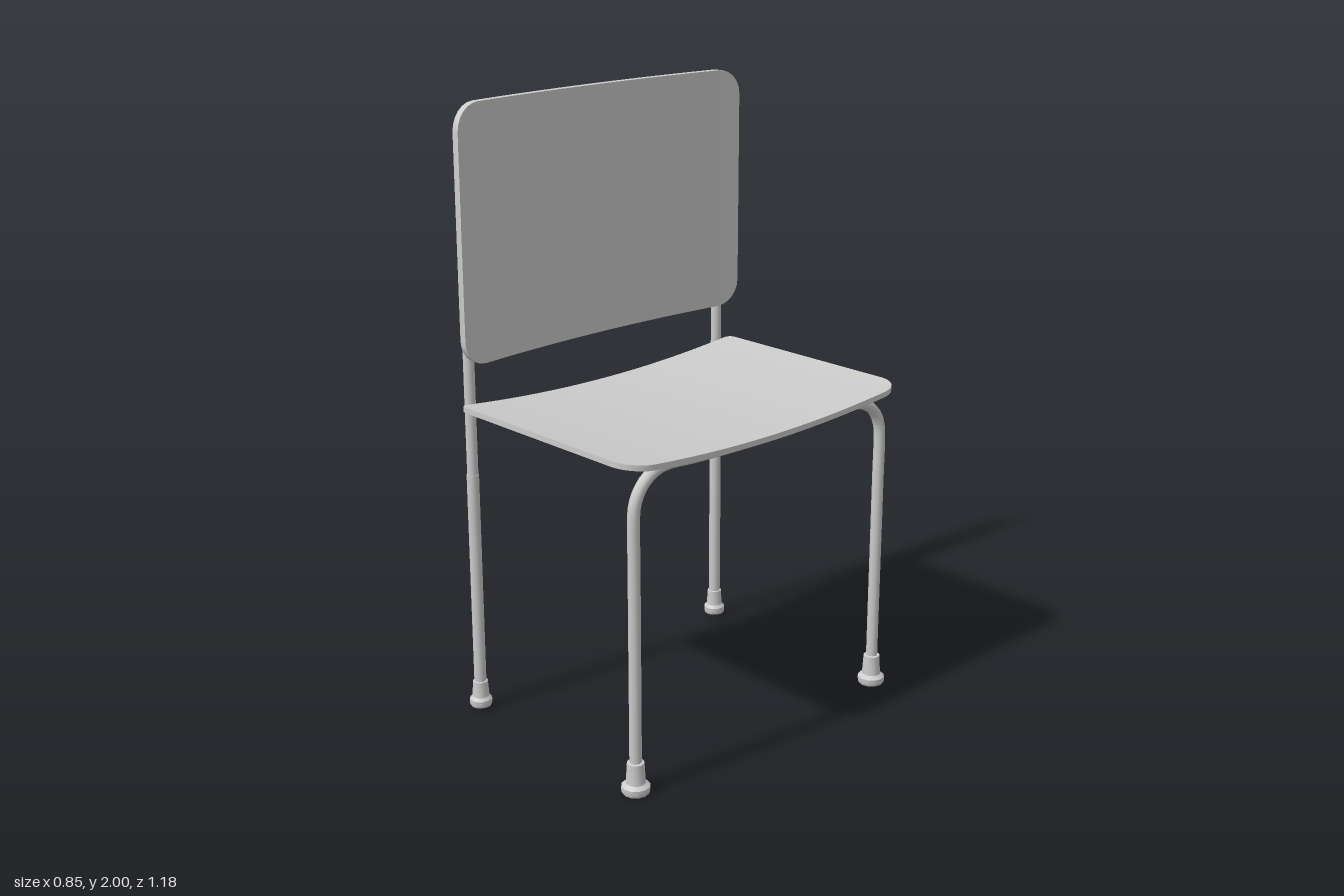
import * as THREE from 'three';
import { toCreasedNormals } from 'three/addons/utils/BufferGeometryUtils.js';

const HALF = 0.59;   // half width of seat and backrest
const LEG_Z = 0.54;  // leg distance from the middle
const material = new THREE.MeshStandardMaterial({ color: 0xcccccc, side: THREE.DoubleSide });

function addMesh(group, name, geometry) {
  const mesh = new THREE.Mesh(geometry, material);
  mesh.name = name;
  group.add(mesh);
  return mesh;
}

// Curved board running along z. Its corners are rounded by shortening the
// end slices; place(u, thickness, z) maps board coordinates to the model.
function board(lo, hi, radiusLo, radiusHi, thickness, place) {
  const stations = [];
  const r = Math.max(radiusLo, radiusHi);
  for (let i = 0; i <= 6; i++) stations.push(-HALF + r * (1 - Math.cos((i / 6) * Math.PI / 2)));
  stations.reverse().sort((a, b) => a - b);
  const inner = HALF - r;
  const middle = [];
  for (let i = 1; i < 14; i++) middle.push(-inner + (2 * inner * i) / 14);
  const zs = [...stations, ...middle, ...stations.map((z) => -z).reverse()];
  const n = zs.length - 1;
  const inset = (z, radius) => {
    const d = Math.max(0, Math.abs(z) - (HALF - radius));
    return radius - Math.sqrt(Math.max(0, radius * radius - d * d));
  };
  const geometry = new THREE.BoxGeometry(1, 1, 1, 1, 1, n);
  const p = geometry.attributes.position;
  for (let i = 0; i < p.count; i++) {
    const z = zs[Math.round((p.getZ(i) + 0.5) * n)];
    const u = p.getX(i) < 0 ? lo + inset(z, radiusLo) : hi - inset(z, radiusHi);
    p.setXYZ(i, ...place(u, p.getY(i) * thickness, z));
  }
  geometry.computeVertexNormals();
  return toCreasedNormals(geometry, 0.5);
}

// Bent tube: up one leg, round the bend, over a bowed crossbar and down again.
function hoop(x, bottom, top, bend, bowX, bowY, radius) {
  const half = [];
  for (let i = 0; i < 6; i++) {
    half.push(new THREE.Vector3(x, bottom + (top - bend - bottom) * i / 6, LEG_Z));
  }
  for (let i = 0; i <= 5; i++) {
    const a = (i / 5) * Math.PI / 2;
    half.push(new THREE.Vector3(x, top - bend + bend * Math.sin(a), LEG_Z - bend + bend * Math.cos(a)));
  }
  const flat = LEG_Z - bend;
  for (let i = 1; i < 4; i++) {
    const z = flat * (1 - i / 4);
    const k = 1 - (z / flat) ** 2;
    half.push(new THREE.Vector3(x + bowX * k, top + bowY * k, z));
  }
  const mirrored = half.map((v) => new THREE.Vector3(v.x, v.y, -v.z)).reverse();
  const crown = new THREE.Vector3(x + bowX, top + bowY, 0);
  const curve = new THREE.CatmullRomCurve3([...half, crown, ...mirrored]);
  return new THREE.TubeGeometry(curve, 140, radius, 8);
}

// Glide foot with a wide pad and a tapering collar.
function foot(base, pad, collar) {
  const profile = [
    [0, base], [pad * 0.92, base], [pad, base + 0.008], [pad, base + 0.024],
    [collar, base + 0.034], [collar * 0.88, 0.1], [0.012, 0.103],
  ].map(([r, y]) => new THREE.Vector2(r, y));
  return toCreasedNormals(new THREE.LatheGeometry(profile, 12), 0.6);
}

export function createModel() {
  const chair = new THREE.Group();
  chair.name = 'chair';

  // Seat, dipping towards the middle
  addMesh(chair, 'seat', board(-0.37, 0.425, 0.025, 0.09, 0.018,
    (u, t, z) => [u, 1.02 + 0.034 * (z / HALF) ** 2 + t, z]));

  // Backrest, hollowed towards the rear
  addMesh(chair, 'backrest', board(1.19, 2, 0.085, 0.085, 0.025,
    (u, t, z) => [-0.383 + 0.04 * (z / HALF) ** 2 - t, u, z]));

  // Tubular frames
  addMesh(chair, 'frontFrame', hoop(0.375, 0.03, 1.02, 0.13, -0.015, -0.02, 0.019));
  addMesh(chair, 'rearFrame', hoop(-0.385, 0.03, 1.9, 0.13, -0.025, 0, 0.018));

  for (const side of [1, -1]) {
    const prefix = side > 0 ? 'left' : 'right';
    // Sleeve around the lower part of each rear leg
    const sleeve = addMesh(chair, prefix + 'RearSleeve', new THREE.CylinderGeometry(0.02, 0.02, 0.76, 8));
    sleeve.position.set(-0.385, 0.44, side * LEG_Z);
    // Feet
    addMesh(chair, prefix + 'FrontFoot', foot(0, 0.045, 0.031)).position.set(0.375, 0, side * LEG_Z);
    addMesh(chair, prefix + 'RearFoot', foot(0.013, 0.037, 0.028)).position.set(-0.385, 0, side * LEG_Z);
  }
  return chair;
}
